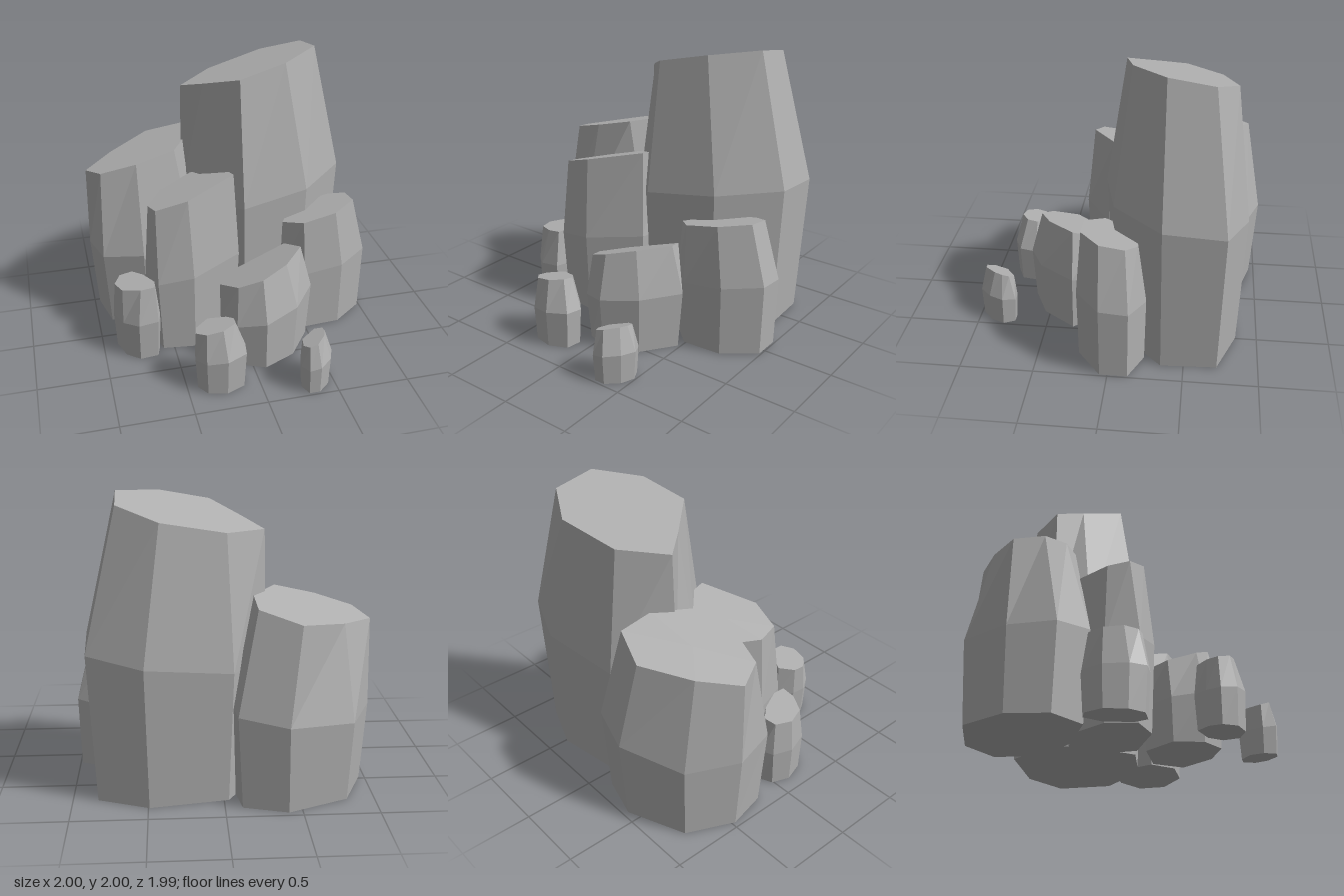
import * as THREE from 'three';

const stone = new THREE.MeshStandardMaterial({ color: 0xb0b0b0, flatShading: true });
stone.name = 'grey stone';

// A rock lofted through three rings: a tapered base, a wide waist and a sloping flat top.
// waist and crown list x, z corners anticlockwise seen from above.
// slope = [height at crown corner 0, rise per x, rise per z]; taper = base size relative to waist.
function rock(name, waist, crown, [h, sx, sz], waistHeight = 0.51, taper = 0.92) {
  const pairs = (a) => Array.from({ length: a.length / 2 }, (_, i) => [a[2 * i], a[2 * i + 1]]);
  const mid = pairs(waist), top = pairs(crown), n = mid.length;
  const centre = [0, 1].map((k) => mid.reduce((s, p) => s + p[k], 0) / n);
  const topY = ([x, z]) => h + sx * (x - top[0][0]) + sz * (z - top[0][1]);
  const rings = [
    mid.map(([x, z]) => new THREE.Vector3(centre[0] + (x - centre[0]) * taper, 0, centre[1] + (z - centre[1]) * taper)),
    mid.map((p) => new THREE.Vector3(p[0], topY(p) * waistHeight, p[1])),
    top.map((p) => new THREE.Vector3(p[0], topY(p), p[1])),
  ];
  const middle = (ring) => ring.reduce((s, p) => s.add(p), new THREE.Vector3()).divideScalar(n);
  const base = middle(rings[0]), cap = middle(rings[2]);
  const points = [];
  for (let i = 0; i < n; i++) {
    const j = (i + 1) % n;
    // sides
    for (let r = 0; r < 2; r++) {
      const [lo, hi] = [rings[r], rings[r + 1]];
      points.push(lo[i], lo[j], hi[j], lo[i], hi[j], hi[i]);
    }
    // top and bottom
    points.push(cap, rings[2][i], rings[2][j], base, rings[0][j], rings[0][i]);
  }
  const geometry = new THREE.BufferGeometry().setFromPoints(points);
  geometry.computeVertexNormals();
  const mesh = new THREE.Mesh(geometry, stone);
  mesh.name = name;
  return mesh;
}

export function createModel() {
  const group = new THREE.Group();
  group.name = 'rockCluster';
  group.add(
    rock('tallRock',
      [0.06, 0.1, 0.55, 0, 0.9, -0.34, 0.88, -0.75, 0.51, -0.89, -0.06, -0.8, -0.3, -0.42, -0.22, -0.18],
      [0.06, -0.04, 0.4, -0.11, 0.68, -0.34, 0.67, -0.64, 0.4, -0.78, -0.02, -0.68, -0.28, -0.43, -0.15, -0.27],
      [1.9, 0.24, 0.164], 0.513),
    rock('backLeftRock',
      [-0.65, -0.045, -0.26, -0.26, -0.02, -0.56, -0.08, -0.91, -0.4, -1, -0.84, -0.82, -1, -0.47, -0.93, -0.17],
      [-0.65, -0.22, -0.37, -0.25, -0.2, -0.55, -0.21, -0.8, -0.48, -0.89, -0.78, -0.68, -0.99, -0.46, -0.9, -0.28],
      [1.27, 0.26, 0.12], 0.48),
    rock('frontLeftRock',
      [-0.6, 0.27, -0.35, 0.3, 0.02, 0.1, 0.02, -0.2, -0.22, -0.34, -0.52, -0.18, -0.66, 0.05],
      [-0.59, 0.2, -0.37, 0.24, -0.01, 0.06, -0.05, -0.2, -0.25, -0.3, -0.49, -0.18, -0.62, 0.055],
      [1.11, 0.28, 0.16], 0.5),
    rock('rightRock',
      [0.48, 0.25, 0.77, 0.23, 1, 0.055, 1, -0.14, 0.78, -0.24, 0.45, -0.2, 0.33, 0.11],
      [0.47, 0.21, 0.71, 0.2, 0.89, 0.06, 0.89, -0.11, 0.78, -0.18, 0.5, -0.17, 0.35, 0.08],
      [0.88, 0.2, 0.15], 0.53, 0.96),
    rock('frontRock',
      [0.08, 0.665, 0.33, 0.55, 0.51, 0.3, 0.35, 0.1, 0, 0.13, -0.18, 0.37, -0.11, 0.58],
      [0.07, 0.58, 0.26, 0.49, 0.42, 0.3, 0.35, 0.13, -0.02, 0.2, -0.18, 0.35, -0.09, 0.53],
      [0.69, 0.34, 0.22], 0.53),
    rock('smallLeftRock',
      [-0.76, 0.35, -0.62, 0.335, -0.59, 0.23, -0.66, 0.03, -0.77, -0.065, -0.86, -0.025, -0.91, 0.11, -0.86, 0.265],
      [-0.73, 0.29, -0.63, 0.29, -0.62, 0.21, -0.68, 0.07, -0.75, -0.015, -0.84, 0, -0.89, 0.11, -0.85, 0.23],
      [0.55, 0.12, 0.08], 0.53),
    rock('smallFrontRock',
      [-0.24, 0.86, -0.1, 0.8, -0.08, 0.68, -0.165, 0.59, -0.34, 0.55, -0.425, 0.64, -0.44, 0.735, -0.38, 0.83],
      [-0.26, 0.8, -0.17, 0.745, -0.16, 0.67, -0.2, 0.62, -0.32, 0.57, -0.415, 0.65, -0.43, 0.725, -0.37, 0.79],
      [0.485, 0.18, 0.15], 0.53),
    rock('tinyFrontRock',
      [0.37, 0.99, 0.46, 0.91, 0.5, 0.81, 0.46, 0.725, 0.38, 0.725, 0.28, 0.8, 0.255, 0.905, 0.29, 0.99],
      [0.35, 0.95, 0.42, 0.87, 0.44, 0.815, 0.44, 0.765, 0.39, 0.74, 0.285, 0.81, 0.265, 0.9, 0.295, 0.955],
      [0.38, 0.3, 0.2], 0.52),
  );
  return group;
}
